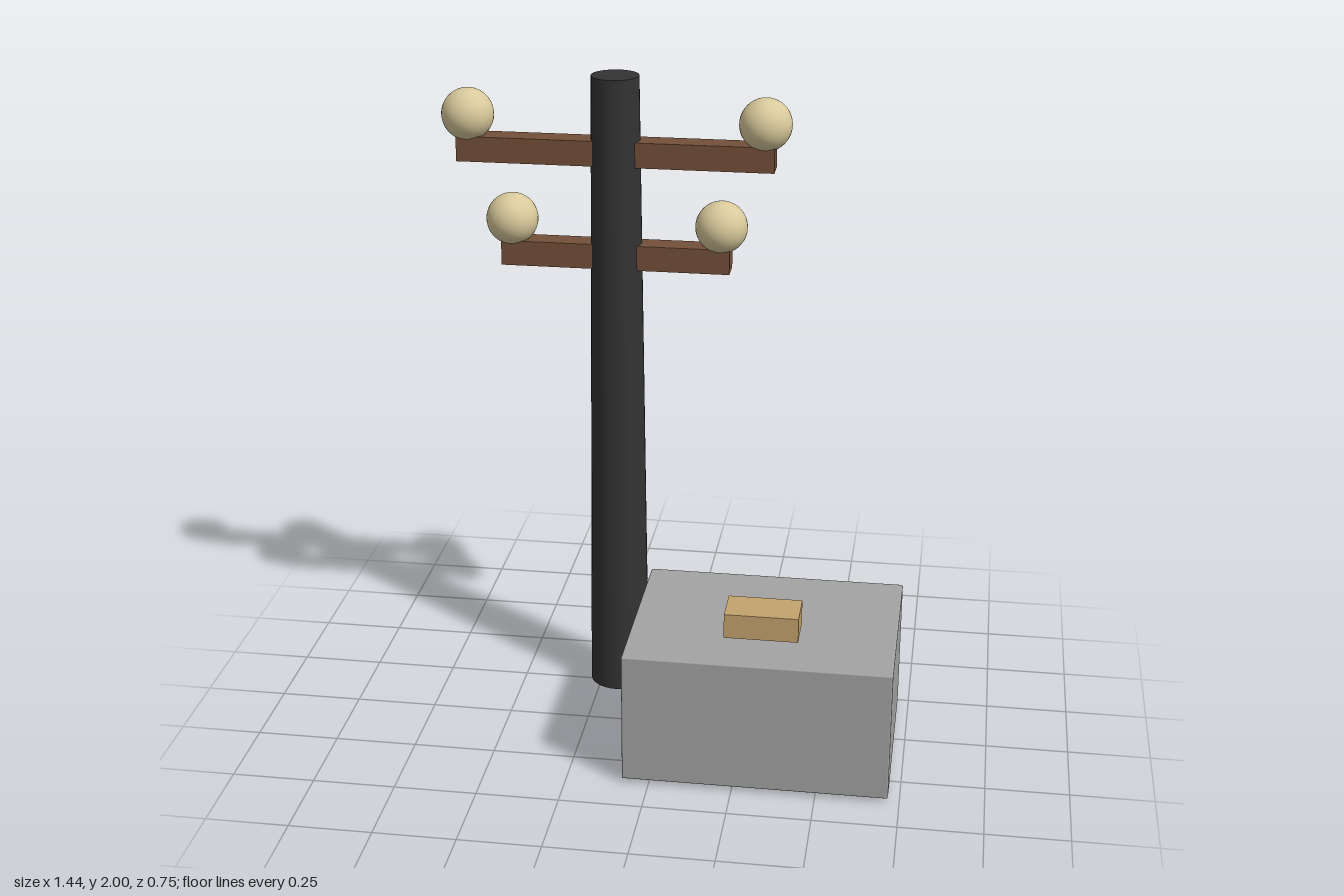
import * as THREE from 'three';
import { RoundedBoxGeometry } from 'three/addons/geometries/RoundedBoxGeometry.js';

function material(name, color) {
  const m = new THREE.MeshStandardMaterial({ color });
  m.name = name;
  return m;
}

export function createModel() {
  const model = new THREE.Group();
  model.name = 'utilityPole';

  const charcoal = material('charcoal', 0x333333);
  const wood = material('brown wood', 0x74503a);
  const cream = material('cream', 0xd9ca9c);
  const concrete = material('concrete grey', 0xa3a3a3);
  const tan = material('tan', 0xc4a36e);

  const poleX = -0.194, poleZ = -0.281;

  const add = (parent, name, geometry, mat, x, y, z) => {
    const mesh = new THREE.Mesh(geometry, mat);
    mesh.name = name;
    mesh.position.set(x, y, z);
    parent.add(mesh);
    return mesh;
  };

  // Tapered pole
  add(model, 'pole', new THREE.CylinderGeometry(0.072, 0.094, 2, 32), charcoal, poleX, 1, poleZ);

  // Crossarms, each with a globe near both ends
  const globe = new THREE.SphereGeometry(0.079, 32, 24);
  for (const [name, y, length, reach] of [
    ['upper', 1.769, 0.958, 0.448],
    ['lower', 1.45, 0.698, 0.32],
  ]) {
    const group = new THREE.Group();
    group.name = name + 'Crossarm';
    group.position.set(poleX, y, poleZ);
    model.add(group);
    add(group, 'arm', new THREE.BoxGeometry(length, 0.077, 0.077), wood, 0, 0, 0);
    for (const side of [-1, 1]) {
      add(group, side > 0 ? 'leftGlobe' : 'rightGlobe', globe, cream, side * reach, 0.099, 0);
    }
  }

  // Block beside the pole, with a small brick above it
  add(model, 'block', new RoundedBoxGeometry(0.797, 0.41, 0.604, 2, 0.005), concrete, 0.318, 0.218, 0.072);
  add(model, 'brick', new THREE.BoxGeometry(0.222, 0.077, 0.126), tan, 0.317, 0.475, 0.168);

  return model;
}
